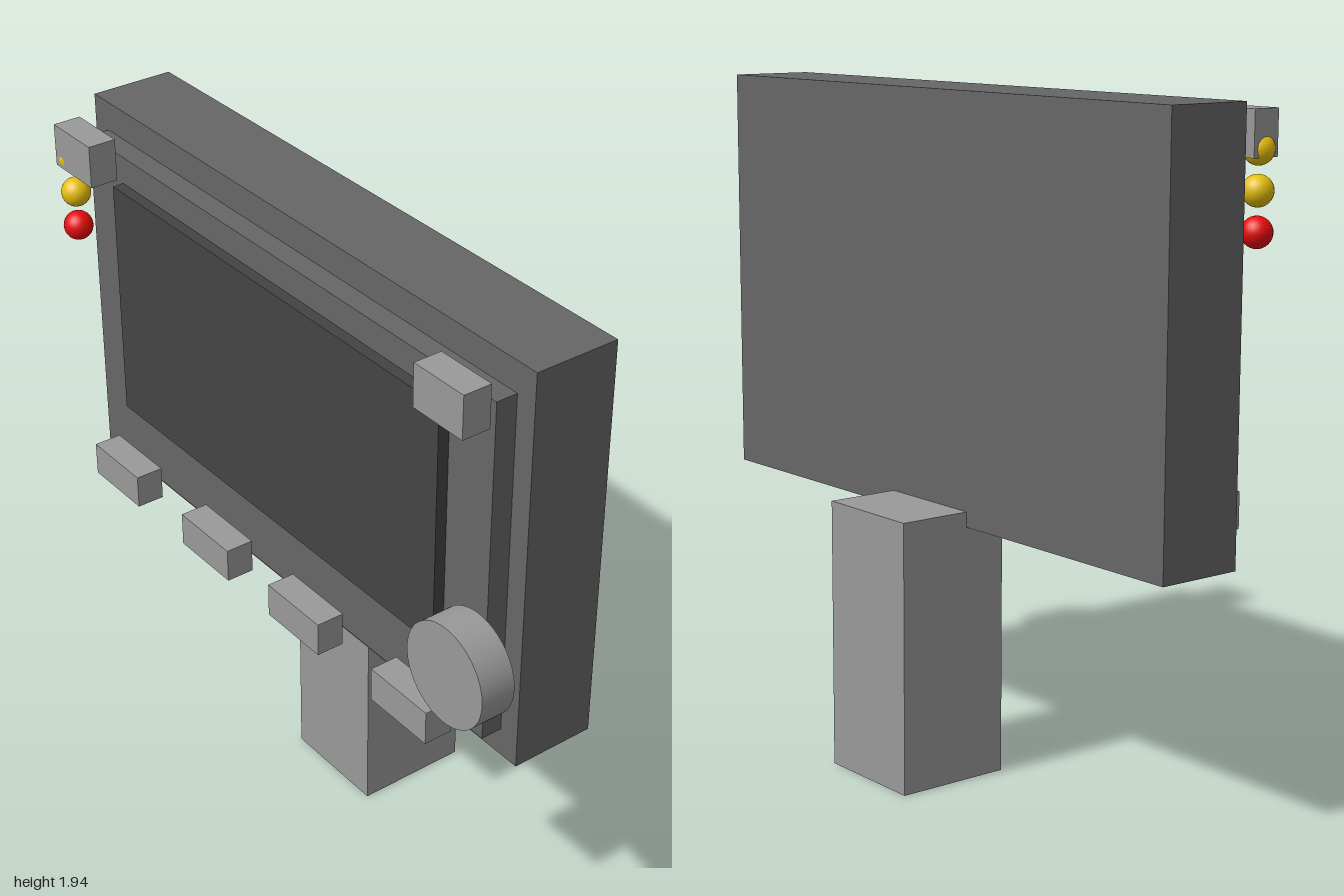
import * as THREE from 'three';

function material(name, color) {
  const m = new THREE.MeshStandardMaterial({ color });
  m.name = name;
  return m;
}

export function createModel() {
  const model = new THREE.Group();
  model.name = 'displayOnStand';

  const caseGrey = material('caseGrey', 0x666666);
  const screenGrey = material('screenGrey', 0x444444);
  const lightGrey = material('lightGrey', 0x999999);
  const yellow = material('yellow', 0xe6be0c);
  const red = material('red', 0xee0c0c);

  function add(name, geometry, mat, x, y, z) {
    const mesh = new THREE.Mesh(geometry, mat);
    mesh.name = name;
    mesh.position.set(x, y, z);
    model.add(mesh);
    return mesh;
  }

  // Box given by its low and high limits on each axis
  function box(name, mat, [x0, x1], [y0, y1], [z0, z1]) {
    const geometry = new THREE.BoxGeometry(x1 - x0, y1 - y0, z1 - z0);
    return add(name, geometry, mat, (x0 + x1) / 2, (y0 + y1) / 2, (z0 + z1) / 2);
  }

  // Stand and the stepped housing
  box('stand', lightGrey, [-0.203, 0.137], [0, 0.78], [-0.33, 0.015]);
  box('housing', caseGrey, [-1, 0.932], [0.736, 1.938], [-0.112, 0.142]);
  box('bezel', caseGrey, [-0.934, 0.867], [0.82, 1.85], [0.142, 0.206]);
  box('screen', screenGrey, [-0.765, 0.697], [1.037, 1.767], [0.206, 0.24]);

  // Row of buttons under the screen
  [-0.72, -0.25, 0.182, 0.652].forEach((x, i) => {
    box('lowerButton' + (i + 1), lightGrey, [x - 0.116, x + 0.116], [0.79, 0.893], [0.23, 0.315]);
  });

  // Buttons at the top corners
  [-0.849, 0.782].forEach((x, i) => {
    box('upperButton' + (i + 1), lightGrey, [x - 0.093, x + 0.093], [1.788, 1.913], [0.23, 0.315]);
  });

  // Round dial facing forward
  const dialGeometry = new THREE.CylinderGeometry(0.15, 0.15, 0.105, 48);
  dialGeometry.rotateX(Math.PI / 2);
  add('dial', dialGeometry, lightGrey, 0.85, 1.077, 0.275);

  // Column of indicator lamps
  const lampGeometry = new THREE.SphereGeometry(0.043, 24, 16);
  [red, yellow, yellow].forEach((mat, i) => {
    add('lamp' + (i + 1), lampGeometry, mat, -0.914, 1.595 + i * 0.107, 0.2745);
  });

  return model;
}
